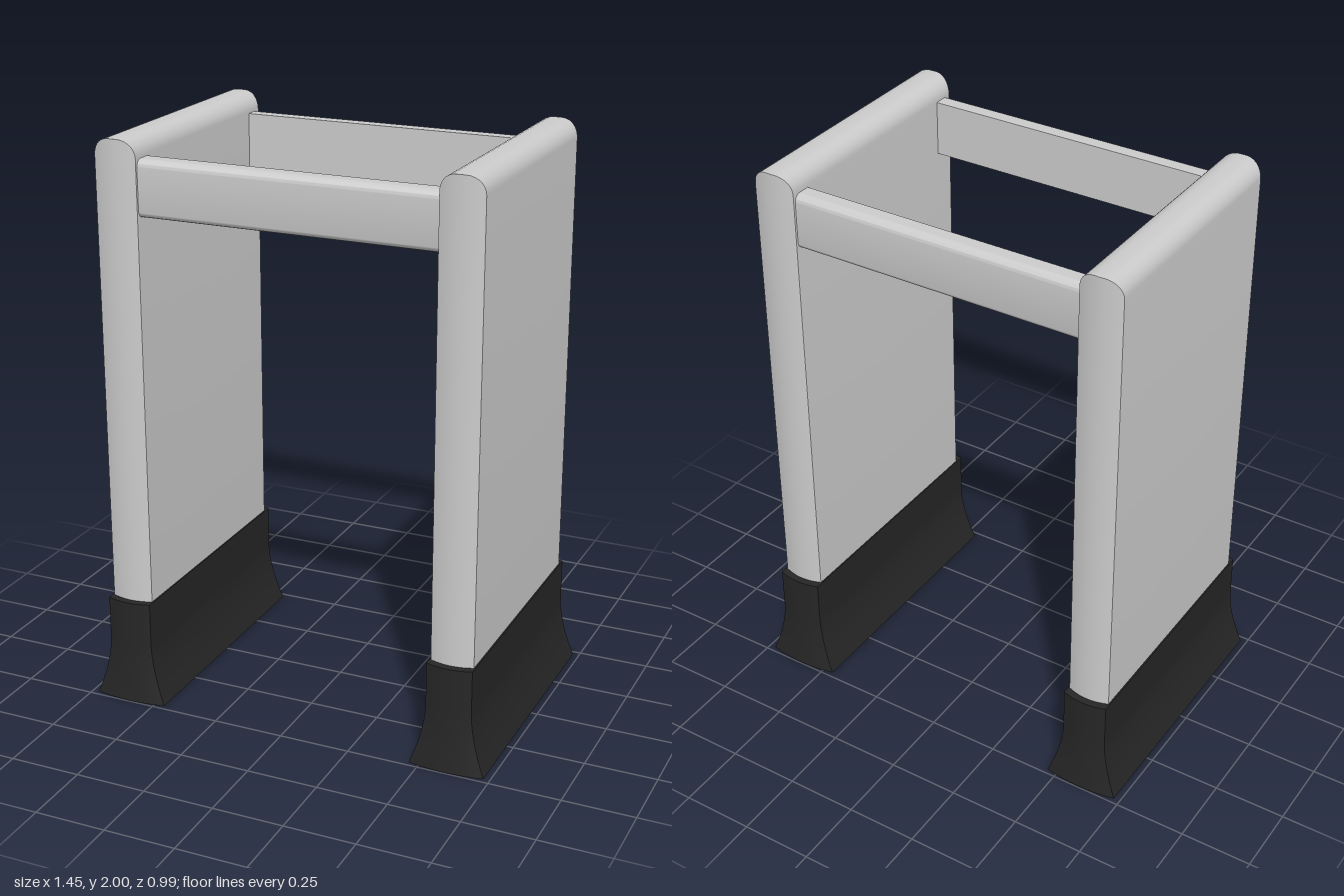
import * as THREE from 'three';
import { toCreasedNormals } from 'three/addons/utils/BufferGeometryUtils.js';

const grey = new THREE.MeshStandardMaterial({ color: 0xcccccc });
const black = new THREE.MeshStandardMaterial({ color: 0x262626 });

// A unit box whose vertices are placed by rule(u, v, w), with u and w in -1..1 and v in 0..1
function shapedBox(xSegments, ySegments, rule) {
  const geometry = new THREE.BoxGeometry(2, 1, 2, xSegments, ySegments, 1);
  const p = geometry.attributes.position;
  for (let i = 0; i < p.count; i++) {
    p.setXYZ(i, ...rule(p.getX(i), p.getY(i) + 0.5, p.getZ(i)));
  }
  return toCreasedNormals(geometry, 0.5);
}

function mesh(name, geometry, material) {
  const m = new THREE.Mesh(geometry, material);
  m.name = name;
  return m;
}

// Upright panel: rounded along the top, gently bowed at both ends
function panelGeometry() {
  const half = 0.075, radius = 0.06;
  return shapedBox(16, 1, (u, v, w) => {
    const s = Math.sin(u * Math.PI / 2);
    const x = half * s;
    const d = Math.max(0, Math.abs(x) - (half - radius));
    const top = 2 - radius + Math.sqrt(Math.max(0, radius * radius - d * d));
    return [x, v > 0.5 ? top : 0.3, w * (0.44 + 0.016 * (1 - s * s))];
  });
}

// Foot: straight sleeve that flares out towards the floor
function footGeometry() {
  return shapedBox(8, 16, (u, v, w) => {
    const y = v * 0.375;
    const flare = Math.max(0, 1 - y / 0.22) ** 1.7;
    const z = 0.467 + 0.014 * flare + 0.015 * (1 - u * u);
    return [u * (0.08 + 0.052 * flare), y, w * z];
  });
}

// Crossbar: flat inside, rounded on its outer edges
function railGeometry() {
  const inner = 0.365, outer = 0.432, low = 1.742, high = 1.935, r = 0.025;
  const s = new THREE.Shape();
  s.moveTo(-inner, low);
  s.lineTo(-inner, high);
  s.lineTo(-outer + r, high);
  s.absarc(-outer + r, high - r, r, Math.PI / 2, Math.PI, false);
  s.absarc(-outer + r, low + r, r, Math.PI, Math.PI * 1.5, false);
  s.closePath();
  const g = new THREE.ExtrudeGeometry(s, { depth: 1.06, bevelEnabled: false, curveSegments: 6 });
  g.translate(0, 0, -0.53);
  g.rotateY(Math.PI / 2); // profile x becomes -z, so the rounded side faces +z
  return toCreasedNormals(g, 0.5);
}

export function createModel() {
  const model = new THREE.Group();
  model.name = 'walkThroughGate';
  const panel = panelGeometry(), foot = footGeometry(), rail = railGeometry();

  // Two uprights with their feet
  for (const [side, sign] of [['left', 1], ['right', -1]]) {
    const upright = new THREE.Group();
    upright.name = side + 'Upright';
    upright.position.x = sign * 0.595;
    upright.add(mesh(side + 'Panel', panel, grey), mesh(side + 'Foot', foot, black));
    model.add(upright);
  }

  // Front and back crossbars
  const front = mesh('frontCrossbar', rail, grey);
  const back = mesh('backCrossbar', rail, grey);
  back.rotation.y = Math.PI;
  model.add(front, back);
  return model;
}
